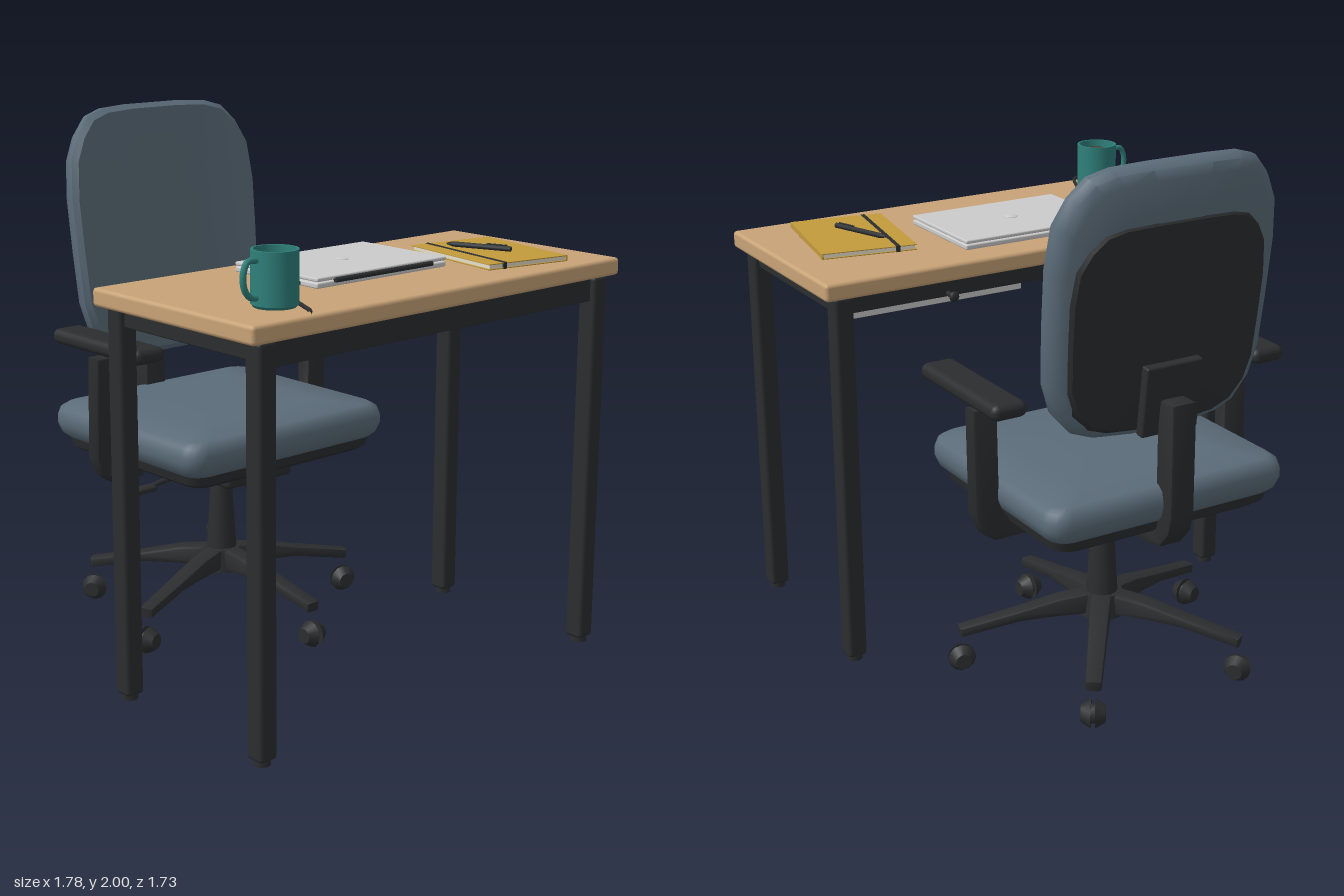
import * as THREE from 'three';
import { toCreasedNormals } from 'three/addons/utils/BufferGeometryUtils.js';
import { RoundedBoxGeometry } from 'three/addons/geometries/RoundedBoxGeometry.js';

const paint = (color, side = THREE.FrontSide) => new THREE.MeshStandardMaterial({ color, side });
const WOOD = paint(0xc8a377), DARK = paint(0x2b2d2f), SLATE = paint(0x5b6c79), GREY = paint(0xcccccc);
const TEAL = paint(0x2f807b, THREE.DoubleSide), GOLD = paint(0xc49b3c), COFFEE = paint(0x4a2c1e), PAPER = paint(0xe6dfcb);

function add(parent, name, geometry, material, x = 0, y = 0, z = 0) {
  const mesh = new THREE.Mesh(geometry, material);
  mesh.name = name;
  mesh.position.set(x, y, z);
  parent.add(mesh);
  return mesh;
}
function group(parent, name, x = 0, y = 0, z = 0) {
  const g = new THREE.Group();
  g.name = name;
  g.position.set(x, y, z);
  parent.add(g);
  return g;
}
const box = (w, h, d, r = 0.01) => new RoundedBoxGeometry(w, h, d, 2, r);
const cyl = (rt, rb, h, n = 20) => new THREE.CylinderGeometry(rt, rb, h, n);
const tube = (pts, r, n = 24) =>
  new THREE.TubeGeometry(new THREE.CatmullRomCurve3(pts.map(p => new THREE.Vector3(...p))), n, r, 8);

// Side profile extruded to a width, centred on local z
function plate(pts, width, bevel = 0.008) {
  const shape = new THREE.Shape(pts.map(p => new THREE.Vector2(...p)));
  const depth = width - 2 * bevel;
  const g = new THREE.ExtrudeGeometry(shape, { depth, bevelThickness: bevel, bevelSize: bevel, bevelOffset: -bevel, bevelSegments: 2 });
  return toCreasedNormals(g.translate(0, 0, -depth / 2), 0.6);
}

// Cushion: one outline (counterclockwise) stacked in [scale, height] layers, bent by a rule
function cushion(outline, layers, bend = () => 0, crease = 0.7) {
  const pos = [], index = [], n = outline.length;
  for (const [s, h] of layers)
    for (const [x, y] of outline) pos.push(x * s, y * s, h + bend(x * s, y * s));
  for (let i = 0; i < layers.length - 1; i++)
    for (let j = 0; j < n; j++) {
      const k = (j + 1) % n, a = i * n + j, b = i * n + k;
      if (layers[i][0] > 0) index.push(a, b, b + n);
      if (layers[i + 1][0] > 0) index.push(a, b + n, a + n);
    }
  const g = new THREE.BufferGeometry();
  g.setAttribute('position', new THREE.Float32BufferAttribute(pos, 3));
  g.setIndex(index);
  return toCreasedNormals(g, crease);
}

function buildDesk(root) {
  const desk = group(root, 'desk');
  add(desk, 'deskTop', box(1.78, 0.065, 0.83, 0.014), WOOD, 0, 1.46, 0.445);
  for (const x of [-0.81, 0.81]) {
    for (const z of [0.09, 0.805]) {
      add(desk, 'deskLeg', box(0.075, 1.41, 0.075, 0.014), DARK, x, 0.725, z);
      add(desk, 'deskFoot', cyl(0.03, 0.03, 0.03, 12), DARK, x, 0.015, z);
    }
    add(desk, 'sideRail', box(0.035, 0.07, 0.66, 0.005), DARK, x, 1.395, 0.447);
  }
  add(desk, 'frontRail', box(1.55, 0.09, 0.035, 0.005), DARK, 0, 1.383, 0.805);
  add(desk, 'backRail', box(1.55, 0.07, 0.035, 0.005), DARK, 0, 1.395, 0.09);
  // Drawer under the top, pulled from the chair side
  add(desk, 'drawer', box(0.71, 0.1, 0.57, 0.004), GREY, 0.405, 1.37, 0.41);
  add(desk, 'drawerKnobStem', cyl(0.01, 0.01, 0.05, 10).rotateX(Math.PI / 2), DARK, 0.39, 1.372, 0.055);
  add(desk, 'drawerKnob', new THREE.SphereGeometry(0.02, 12, 8).scale(1, 1, 0.6), DARK, 0.39, 1.372, 0.026);
}

function buildDeskItems(root) {
  const T = 1.493;
  const laptop = group(root, 'laptop', -0.043, T, 0.36);
  add(laptop, 'laptopBase', box(0.625, 0.02, 0.425, 0.006), GREY, 0, 0.012, 0);
  add(laptop, 'laptopLid', box(0.625, 0.014, 0.425, 0.005), GREY, 0, 0.032, 0);
  add(laptop, 'laptopHinge', cyl(0.009, 0.009, 0.47, 10).rotateZ(Math.PI / 2), DARK, 0, 0.024, 0.216);
  add(laptop, 'lidButton', new THREE.SphereGeometry(0.026, 16, 8).scale(1, 0.2, 1), GREY, 0, 0.039, 0);
  add(root, 'cable', tube([[-0.355, 1.505, 0.482], [-0.43, 1.5, 0.515], [-0.49, 1.5, 0.565], [-0.54, 1.5, 0.65],
    [-0.59, 1.5, 0.76], [-0.625, 1.5, 0.83], [-0.655, 1.5, 0.857]], 0.007, 30), DARK);

  const mug = group(root, 'mug', -0.637, T, 0.676);
  const profile = [[0, 0], [0.07, 0], [0.079, 0.01], [0.079, 0.188], [0.07, 0.188], [0.07, 0.02], [0, 0.02]];
  add(mug, 'mugBody', toCreasedNormals(new THREE.LatheGeometry(profile.map(p => new THREE.Vector2(...p)), 28), 0.6), TEAL);
  add(mug, 'mugHandle', tube([[-0.072, 0.158, 0], [-0.115, 0.157, 0], [-0.132, 0.125, 0], [-0.13, 0.075, 0],
    [-0.108, 0.044, 0], [-0.072, 0.036, 0]], 0.011), TEAL);
  add(mug, 'coffee', cyl(0.07, 0.07, 0.01, 28), COFFEE, 0, 0.155, 0);

  const book = group(root, 'notebook', 0.55, T, 0.52);
  book.rotation.y = -0.175;
  add(book, 'backCover', box(0.357, 0.004, 0.468, 0.001), GOLD, 0, 0.002, 0);
  add(book, 'pages', box(0.345, 0.016, 0.458, 0.001), PAPER, 0, 0.011, 0);
  add(book, 'frontCover', box(0.357, 0.004, 0.468, 0.001), GOLD, 0, 0.02, 0);
  add(book, 'spine', box(0.006, 0.022, 0.468, 0.001), GOLD, 0.176, 0.011, 0);
  add(book, 'strap', box(0.016, 0.026, 0.472, 0.002), DARK, -0.107, 0.011, 0);
  const pen = group(root, 'pen', 0.535, 1.527, 0.5);
  pen.rotation.y = 0.34;
  add(pen, 'penBarrel', cyl(0.01, 0.01, 0.23, 10).rotateX(Math.PI / 2), DARK);
  add(pen, 'penTip', cyl(0.01, 0.003, 0.025, 10).rotateX(Math.PI / 2), DARK, 0, 0, -0.127);
  add(pen, 'penClip', box(0.005, 0.005, 0.08, 0.001), DARK, 0, 0.012, 0.06);
}

function buildChairBase(chair) {
  // Hub, gas column, five legs and casters, centred on the column
  const base = group(chair, 'chairBase', 0, 0, -0.365);
  add(base, 'hub', cyl(0.075, 0.085, 0.09), DARK, 0, 0.225, 0);
  add(base, 'columnSleeve', cyl(0.043, 0.06, 0.27), DARK, 0, 0.39, 0);
  add(base, 'gasColumn', cyl(0.03, 0.03, 0.1), GREY, 0, 0.56, 0);
  const leg = plate([[0.05, 0.19], [0.2, 0.19], [0.32, 0.185], [0.54, 0.143], [0.545, 0.18], [0.32, 0.226], [0.17, 0.26], [0.05, 0.272]], 0.075, 0.012);
  const p = leg.attributes.position;
  for (let i = 0; i < p.count; i++) p.setZ(i, p.getZ(i) * (1.1 - 0.6 * p.getX(i)));
  for (let i = 0; i < 5; i++) {
    const spoke = group(base, 'spoke');
    spoke.rotation.y = -Math.PI / 2 + i * Math.PI * 0.4;
    add(spoke, 'baseLeg', leg, DARK);
    const caster = group(spoke, 'caster', 0.535, 0.052, 0);
    for (const s of [-1, 1])
      add(caster, 'wheel', toCreasedNormals(cyl(0.03, 0.052, 0.036, 12), 0.5).rotateX(s * Math.PI / 2), DARK, 0, 0, s * 0.026);
    add(caster, 'axle', cyl(0.035, 0.035, 0.03, 10).rotateX(Math.PI / 2), DARK);
  }
}

function buildSeat(chair) {
  // Rounded-rectangle seat outline
  const outline = [];
  for (let i = 0; i < 4; i++)
    for (let k = 0; k <= 4; k++) {
      const a = (i + k / 4) * Math.PI / 2, sx = i === 0 || i === 3 ? 1 : -1, sy = i < 2 ? 1 : -1;
      outline.push([sx * 0.42 + 0.07 * Math.cos(a), sy * 0.375 + 0.07 * Math.sin(a)]);
    }
  const seat = group(chair, 'seat', 0, 0, -0.375);
  seat.rotation.x = -Math.PI / 2;
  add(seat, 'seatCushion', cushion(outline, [[0, 0.725], [0.93, 0.725], [0.975, 0.745], [1, 0.78], [1, 0.81], [0.98, 0.842],
    [0.93, 0.86], [0.6, 0.869], [0, 0.873]], undefined, 0.9), SLATE);
  add(seat, 'seatPan', cushion(outline, [[0, 0.672], [0.85, 0.672], [0.91, 0.69], [0.93, 0.728], [0, 0.728]]), DARK);

  // Tilt mechanism, tension knob and lever
  add(chair, 'mechanism', box(0.33, 0.09, 0.44, 0.02), DARK, 0, 0.63, -0.345);
  add(chair, 'tensionKnob', cyl(0.056, 0.056, 0.07, 12).rotateX(Math.PI / 2), DARK, 0, 0.608, -0.145);
  add(chair, 'leverRod', tube([[-0.14, 0.64, -0.25], [-0.36, 0.643, -0.25], [-0.46, 0.628, -0.25]], 0.011), DARK);
  add(chair, 'leverPaddle', box(0.1, 0.022, 0.05, 0.009), DARK, -0.475, 0.627, -0.25);

  // Armrests
  const post = plate([[0.36, 0.625], [0.5, 0.625], [0.545, 0.655], [0.578, 0.73], [0.578, 1.12], [0.483, 1.12],
    [0.483, 0.77], [0.46, 0.715], [0.42, 0.69], [0.36, 0.69]], 0.065, 0.01);
  for (const s of [-1, 1]) {
    const arm = group(chair, s > 0 ? 'leftArmrest' : 'rightArmrest', 0, 0, -0.42);
    const upright = add(arm, 'armPost', post, DARK, 0, 0, -0.022);
    upright.rotation.y = s > 0 ? 0 : Math.PI;
    upright.rotation.x = s > 0 ? 0.03 : -0.03;
    if (s < 0) upright.rotation.order = 'YXZ';
    add(arm, 'armPad', box(0.135, 0.058, 0.53, 0.026), DARK, s * 0.538, 1.172, 0.053);
  }
}

function buildBackrest(chair) {
  // Curved bar from the mechanism up to the back
  add(chair, 'backBar', plate([[0.5, 0.61], [0.72, 0.61], [0.8, 0.63], [0.85, 0.69], [0.865, 0.76], [0.865, 1.17], [0.77, 1.17],
    [0.77, 0.76], [0.75, 0.69], [0.7, 0.667], [0.5, 0.667]], 0.1, 0.012).rotateY(Math.PI / 2), DARK);

  const back = group(chair, 'backrest', 0, 1.51, -0.74);
  back.rotation.x = -0.115;
  const half = [[0.12, -0.488], [0.25, -0.478], [0.33, -0.45], [0.4, -0.37], [0.435, -0.26], [0.445, -0.06], [0.45, 0.15],
    [0.435, 0.3], [0.39, 0.39], [0.33, 0.455], [0.25, 0.48], [0.12, 0.488]];
  const outline = [...half, ...half.map(([x, y]) => [-x, y]).reverse()];
  const wrap = x => 0.045 * (x / 0.45) ** 2;
  add(back, 'backCushion', cushion(outline, [[0, -0.05], [0.35, -0.05], [0.65, -0.05], [0.9, -0.045], [0.97, -0.03], [1, 0],
    [1, 0.025], [0.96, 0.048], [0.65, 0.05], [0.35, 0.05], [0, 0.05]], wrap), SLATE);
  // Hard shell behind the cushion
  const shell = outline.map(([x, y]) => [x * 0.88, y * 0.78]);
  add(back, 'backShell', cushion(shell, [[0, -0.06], [0.35, -0.06], [0.65, -0.06], [0.96, -0.058], [1, -0.04], [0.65, -0.035], [0, -0.035]],
    wrap), DARK, 0, -0.075, 0);
  add(back, 'backBracket', box(0.23, 0.26, 0.04, 0.008), DARK, 0, -0.335, -0.07);
}

export function createModel() {
  const root = new THREE.Group();
  root.name = 'deskAndChair';
  buildDesk(root);
  buildDeskItems(root);
  const chair = group(root, 'officeChair');
  buildChairBase(chair);
  buildSeat(chair);
  buildBackrest(chair);
  return root;
}
